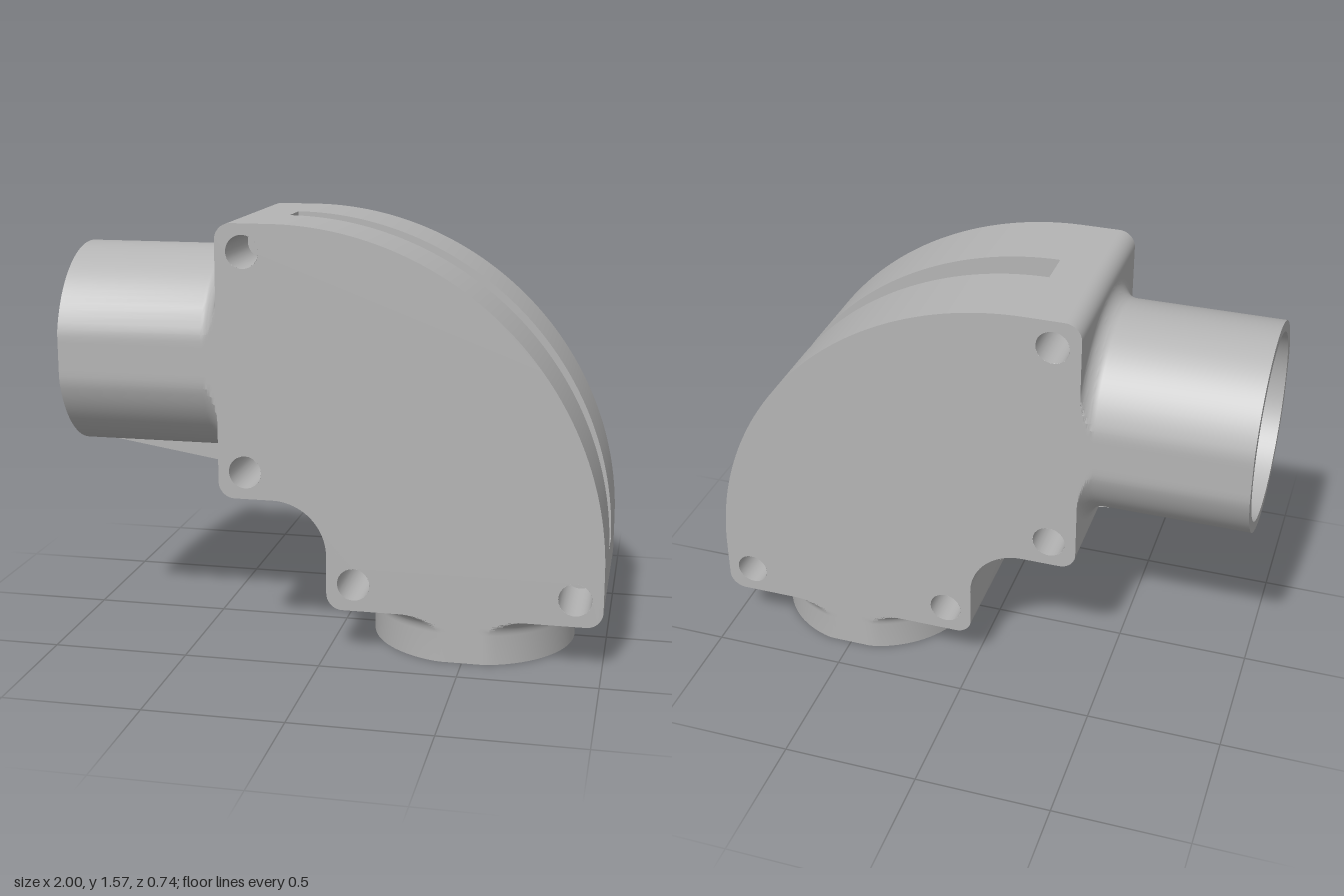
import * as THREE from 'three';
import { toCreasedNormals } from 'three/addons/utils/BufferGeometryUtils.js';

const DEPTH = 0.37, SLOT = 0.07;          // half depth of body, half width of slot
const CX = -0.2, CY = 0.37;               // centre of the bend
const BEND = 0.7, BORE = 0.3, OUTER = 1.2;
const CORNER = 0.06;

// Arc as a list of points
function arc(cx, cy, r, a0, a1, n) {
  return Array.from({ length: n + 1 }, (_, i) => {
    const a = a0 + (a1 - a0) * i / n;
    return new THREE.Vector2(cx + r * Math.cos(a), cy + r * Math.sin(a));
  });
}

// Surface grid from a rule f(u, v) -> [x, y, z]
function grid(nu, nv, f) {
  const pos = [], index = [];
  for (let i = 0; i <= nu; i++) for (let j = 0; j <= nv; j++) pos.push(...f(i / nu, j / nv));
  for (let i = 0; i < nu; i++) for (let j = 0; j < nv; j++) {
    const a = i * (nv + 1) + j, b = a + nv + 1;
    index.push(a, b, a + 1, b, b + 1, a + 1);
  }
  const g = new THREE.BufferGeometry();
  g.setAttribute('position', new THREE.Float32BufferAttribute(pos, 3));
  g.setIndex(index);
  return toCreasedNormals(g, 0.25);
}

// Wall following a list of points, between two depths
const wall = (pts, z0, z1) => grid(pts.length - 1, 1, (u, v) => {
  const p = pts[Math.round(u * (pts.length - 1))];
  return [p.x, p.y, z0 + (z1 - z0) * v];
});

export function createModel() {
  const model = new THREE.Group();
  model.name = 'elbowFitting';
  const grey = new THREE.MeshStandardMaterial({ color: 0xb4b4b4, side: THREE.DoubleSide });
  grey.name = 'grey plastic';
  const add = (name, geometry, parent = model) => {
    const mesh = new THREE.Mesh(geometry, grey);
    mesh.name = name;
    parent.add(mesh);
    return mesh;
  };
  const H = Math.PI / 2, V = (x, y) => new THREE.Vector2(x, y);

  // Outline pieces, clockwise from the upper left corner
  const topEdge = [...arc(-0.34, 1.51, CORNER, Math.PI, H, 10), V(CX, 1.57)];
  const outerArc = arc(CX, CY, OUTER, H, 0, 64);
  const rightEdge = [V(1, CY), ...arc(0.94, 0.23, CORNER, 0, -H, 10)];
  const innerEdge = [
    ...arc(0.06, 0.23, CORNER, 3 * H, Math.PI, 10),
    ...arc(CX, CY, 0.2, 0, H, 20),
    ...arc(-0.34, 0.63, CORNER, 3 * H, Math.PI, 10),
  ];

  // Front and back plates with bolt holes
  const bolts = [[-0.3, 1.47], [-0.3, 0.67], [0.1, 0.27], [0.9, 0.27]];
  const plate = new THREE.Shape([...topEdge, ...outerArc.slice(1), ...rightEdge.slice(1), ...innerEdge]);
  for (const [x, y] of bolts) plate.holes.push(new THREE.Path().absarc(x, y, 0.06, 0, Math.PI * 2));

  for (const side of [1, -1]) {
    const half = new THREE.Group();
    half.name = side > 0 ? 'frontHalf' : 'backHalf';
    if (side < 0) half.rotation.y = 0;
    model.add(half);

    const face = new THREE.ShapeGeometry(plate, 24);
    if (side < 0) face.index.array.reverse(), face.computeVertexNormals();
    face.translate(0, 0, side * DEPTH);
    add('facePlate', face, half);

    // Rim walls, leaving the slot open along the outer arc
    add('topWall', wall(topEdge, 0, side * DEPTH), half);
    add('outerWall', wall(outerArc, side * SLOT, side * DEPTH), half);
    add('rightWall', wall(rightEdge, 0, side * DEPTH), half);
    add('innerWall', wall(innerEdge, 0, side * DEPTH), half);

    // Slot side
    const band = new THREE.Shape([...arc(CX, CY, OUTER, 0, H, 64), ...arc(CX, CY, 0.99, H, 0, 64)]);
    add('slotSide', new THREE.ShapeGeometry(band).translate(0, 0, side * SLOT), half);

    // Round studs along the slot
    for (let i = 0; i < 9; i++) {
      const a = THREE.MathUtils.degToRad(5 + 10 * i);
      const stud = add('slotStud', new THREE.CylinderGeometry(0.057, 0.057, 0.026, 28), half);
      stud.rotation.x = H;
      stud.position.set(CX + 1.06 * Math.cos(a), CY + 1.06 * Math.sin(a), side * 0.057);
    }

    // Blind bolt holes
    for (const [x, y] of bolts) {
      const bore = add('boltBore', new THREE.CylinderGeometry(0.06, 0.06, 0.3, 24, 1, true), half);
      bore.rotation.x = H;
      bore.position.set(x, y, side * (DEPTH - 0.15));
      add('boltFloor', new THREE.CircleGeometry(0.06, 24), half).position.set(x, y, side * (DEPTH - 0.3));
    }
  }

  // Slot end walls
  const endA = add('slotEnd', new THREE.PlaneGeometry(0.21, SLOT * 2));
  endA.rotation.x = -H;
  endA.position.set(0.895, CY, 0);
  const endB = add('slotEnd', new THREE.PlaneGeometry(SLOT * 2, 0.21));
  endB.rotation.y = H;
  endB.position.set(CX, 1.465, 0);

  // Curved bore, open where it meets the slot
  const open = Math.asin(SLOT / BORE);
  add('curvedBore', grid(48, 64, (u, v) => {
    const t = u * H, a = open + v * (Math.PI * 2 - 2 * open);
    const r = BEND + BORE * Math.cos(a);
    return [CX + r * Math.cos(t), CY + r * Math.sin(t), BORE * Math.sin(a)];
  }));

  // Pipe socket: flared outside, rim, socket, step and bore; flattened at the body depth
  function socket(name, length) {
    const group = new THREE.Group();
    group.name = name;
    const profile = [
      ...arc(0.44, length - CORNER, CORNER, H, Math.PI, 12),
      V(0.38, 0), V(0.34, 0), V(0.34, length), V(BORE, length), V(BORE, length + 0.2),
    ];
    const n = profile.length - 1;
    add('pipe', grid(n, 96, (u, v) => {
      const p = profile[Math.round(u * n)], a = v * Math.PI * 2;
      return [p.x * Math.cos(a), p.y, THREE.MathUtils.clamp(p.x * Math.sin(a), -DEPTH, DEPTH)];
    }), group);
    const end = new THREE.Shape([V(-0.44, -DEPTH), V(0.44, -DEPTH), V(0.44, DEPTH), V(-0.44, DEPTH)]);
    end.holes.push(new THREE.Path().absarc(0, 0, 0.36, 0, Math.PI * 2));
    add('endWall', new THREE.ShapeGeometry(end, 48).rotateX(H).translate(0, length, 0), group);
    model.add(group);
    return group;
  }
  socket('bottomSocket', 0.17).position.set(0.5, 0, 0);
  const sideSocket = socket('sideSocket', 0.6);
  sideSocket.rotation.z = -H;
  sideSocket.position.set(-1, 1.07, 0);

  // Thin webs on the parting line
  add('pipeWeb', new THREE.ShapeGeometry(new THREE.Shape(
    [V(-1, 0.69), V(-0.37, 0.59), V(-0.4, 0.69)])));
  add('bendWeb', new THREE.ShapeGeometry(new THREE.Shape(
    [V(-0.1, 0.545), V(0, 0.25), ...arc(CX, CY, 0.2, 0, Math.PI / 3, 12)])));

  return model;
}
